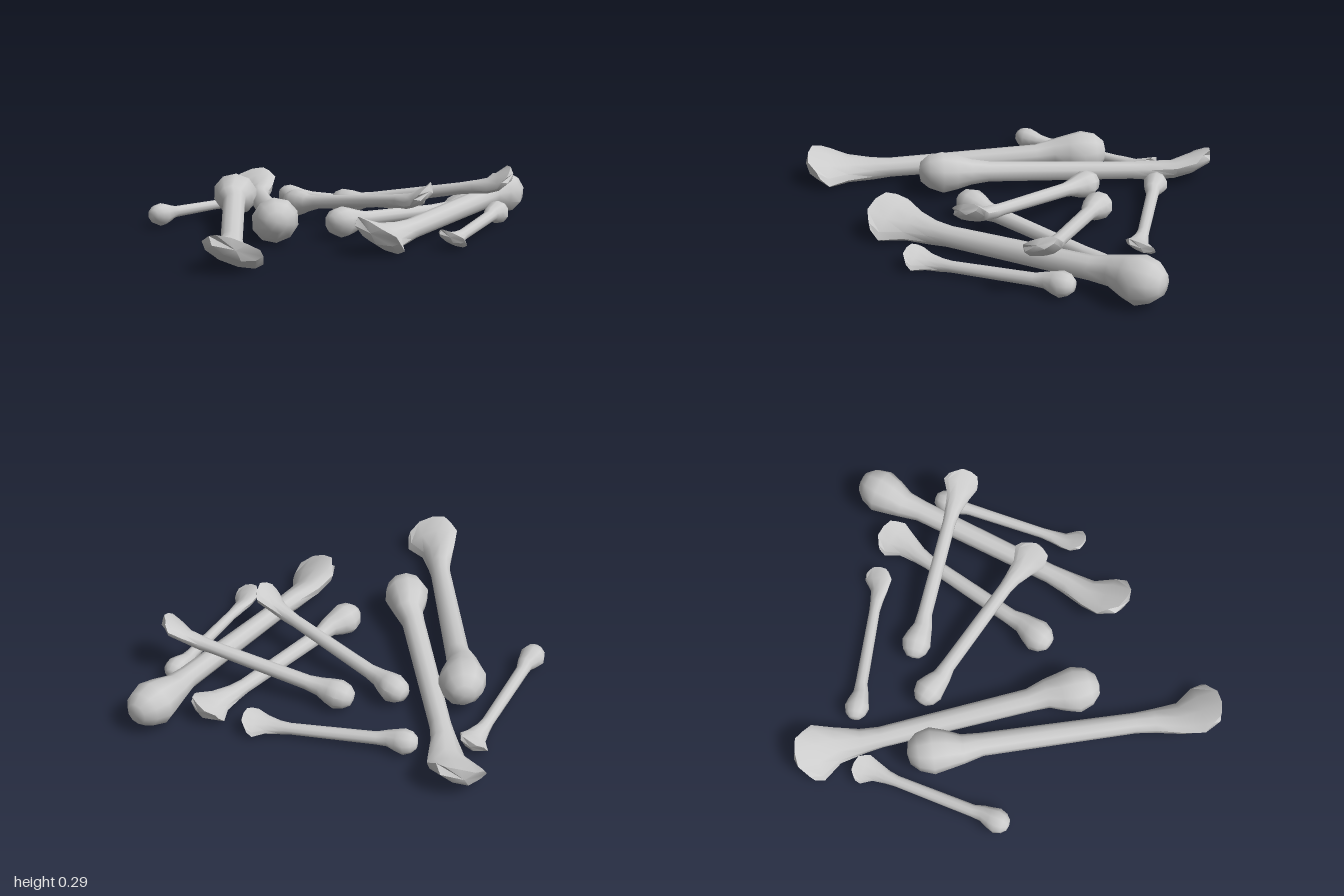
import * as THREE from 'three';
import { toCreasedNormals } from 'three/addons/utils/BufferGeometryUtils.js';

const SIDES = 10;
const LENGTH = 1.31; // ball centre to the anchor in the forked end

// Cross-sections along the bone: z, half width, half height, side shift, lift
const SECTIONS = [
  [-0.105, 0.05, 0.05, 0, 0.005],
  [-0.065, 0.09, 0.084, 0, 0.005],
  [0.0, 0.111, 0.104, 0, 0],
  [0.07, 0.092, 0.088, -0.005, 0],
  [0.14, 0.07, 0.065, -0.015, 0],
  [0.23, 0.055, 0.052, -0.004, 0],
  [0.95, 0.05, 0.045, 0, -0.008],
  [1.04, 0.06, 0.05, -0.002, -0.01],
  [1.16, 0.088, 0.047, -0.012, -0.006],
  [1.25, 0.135, 0.05, 0, 0.02],
  [1.3, 0.118, 0.04, 0, 0.06],
];
// Forward reach of each point of the last ring: two lobes with a small notch
const TIP_REACH = [-0.01, 0.005, 0.045, 0.045, 0.03, -0.01, 0.03, 0.045, 0.045, 0.005];

function boneGeometry() {
  const pos = [], index = [];
  const last = SECTIONS.length - 1;
  SECTIONS.forEach(([z, w, h, shift, lift], i) => {
    for (let j = 0; j < SIDES; j++) {
      const a = (j / SIDES) * Math.PI * 2;
      const reach = i === last ? TIP_REACH[j] : 0;
      pos.push(shift + w * Math.cos(a), lift + h * Math.sin(a), z + reach);
    }
    if (i === last) return;
    for (let j = 0; j < SIDES; j++) {
      const a = i * SIDES + j, b = i * SIDES + ((j + 1) % SIDES);
      index.push(a, b, b + SIDES, a, b + SIDES, a + SIDES);
    }
  });
  // end caps
  const ballCap = pos.length / 3, tipCap = ballCap + 1;
  pos.push(0, 0.005, -0.115, 0, 0.06, 1.36);
  for (let j = 0; j < SIDES; j++) {
    const k = (j + 1) % SIDES;
    index.push(ballCap, k, j, tipCap, last * SIDES + j, last * SIDES + k);
  }
  const g = new THREE.BufferGeometry();
  g.setAttribute('position', new THREE.Float32BufferAttribute(pos, 3));
  g.setIndex(index);
  return toCreasedNormals(g, 0.85);
}

// name, ball centre, anchor in the forked end, roll about the bone's axis
const BONES = [
  ['largeBoneMiddle', [-0.06, 0.107, 0.31], [-0.708, 0.055, -0.8], -0.38],
  ['largeBoneFront', [-0.535, 0.115, -0.24], [0.035, 0.052, 0.94], -0.38],
  ['largeBoneBack', [0.66, 0.108, -0.885], [0.43, 0.055, 0.38], -0.42],
  ['mediumBoneLow', [0.16, 0.073, 0.06], [0.472, 0.039, -0.79], -0.36],
  ['mediumBoneBackRaised', [-0.04, 0.072, -0.48], [0.79, 0.221, -0.508], 0.4],
  ['mediumBoneFrontRaised', [-0.25, 0.075, -0.35], [0.53, 0.186, -0.068], 0.4],
  ['smallBoneBack', [-0.42, 0.057, -0.65], [0.26, 0.03, -0.765], -0.36],
  ['smallBoneRight', [-0.75, 0.057, 0.135], [-0.682, 0.03, -0.55], -0.36],
  ['smallBoneLeft', [0.72, 0.057, -0.57], [0.697, 0.03, 0.12], -0.36],
];

export function createModel() {
  const group = new THREE.Group();
  group.name = 'bonePile';
  const geometry = boneGeometry();
  const material = new THREE.MeshStandardMaterial({ color: 0xcccccc });
  for (const [name, ball, fork, roll] of BONES) {
    const from = new THREE.Vector3(...ball), to = new THREE.Vector3(...fork);
    const bone = new THREE.Mesh(geometry, material);
    bone.name = name;
    bone.position.copy(from);
    bone.lookAt(to);
    bone.rotateZ(roll);
    bone.scale.setScalar(from.distanceTo(to) / LENGTH);
    group.add(bone);
  }
  return group;
}
